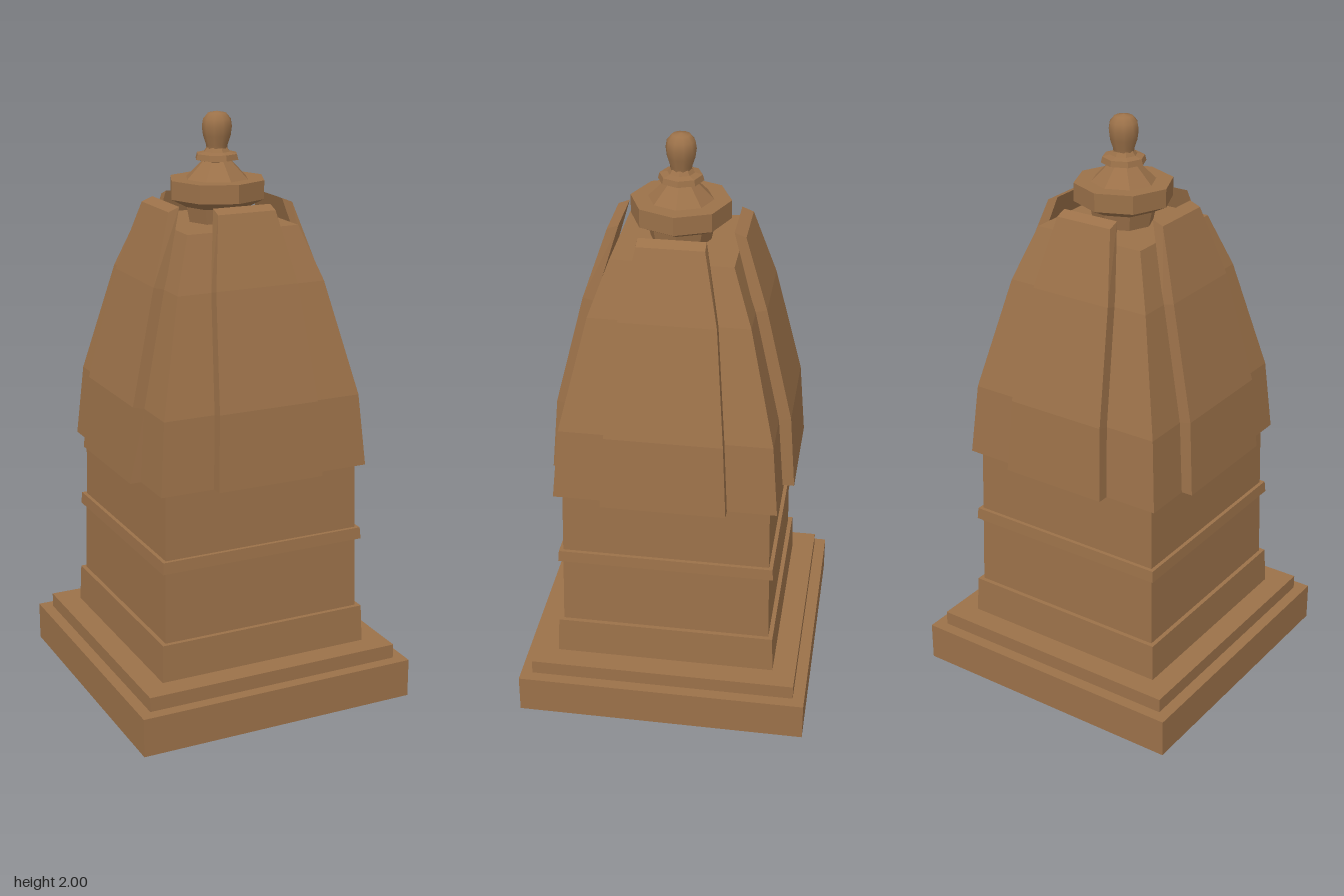
import * as THREE from 'three';

const flat = new THREE.MeshStandardMaterial({ color: 0x9b7149, flatShading: true, side: THREE.DoubleSide });
const smooth = new THREE.MeshStandardMaterial({ color: 0x9b7149 });

function add(group, name, geometry, material = flat) {
  const mesh = new THREE.Mesh(geometry, material);
  mesh.name = name;
  group.add(mesh);
  return mesh;
}

const points = (list) => list.map(([r, y]) => new THREE.Vector2(r, y));

// Square solid from a profile of [half width, height]
function squareLoft(profile) {
  const corners = profile.map(([w, y]) => [w * Math.SQRT2, y]);
  return new THREE.LatheGeometry(points(corners), 4, Math.PI / 4);
}

// Curved slab facing +z; rows run from bottom to top
const RIB_ROWS = [
  // outer y, outer z, inner y, inner z, share of the taper
  [0.835, 0.415, 0.835, 0.372, 0],
  [1.09, 0.395, 1.08, 0.352, 0.14],
  [1.47, 0.302, 1.46, 0.262, 0.5],
  [1.70, 0.225, 1.715, 0.187, 1],
];
function ribGeometry(bottomHalf, topHalf) {
  const geometry = new THREE.BoxGeometry(1, 1, 1, 1, 3, 1);
  const p = geometry.attributes.position;
  for (let i = 0; i < p.count; i++) {
    const [yo, zo, yi, zi, t] = RIB_ROWS[Math.round((p.getY(i) + 0.5) * 3)];
    const outer = p.getZ(i) > 0;
    const half = THREE.MathUtils.lerp(bottomHalf, topHalf, t);
    p.setXYZ(i, Math.sign(p.getX(i)) * half, outer ? yo : yi, outer ? zo : zi);
  }
  geometry.computeVertexNormals();
  return geometry;
}

export function createModel() {
  const model = new THREE.Group();
  model.name = 'pillarCap';

  // Stepped plinth and shaft
  add(model, 'plinth', squareLoft([[0, 0], [0.5, 0], [0.5, 0.135], [0.46, 0.135], [0.46, 0.185], [0, 0.185]]));
  add(model, 'shaft', squareLoft([
    [0.38, 0.185], [0.375, 0.315], [0.36, 0.315], [0.355, 0.565],
    [0.37, 0.565], [0.367, 0.605], [0.354, 0.605], [0.35, 0.835],
  ]));

  // Curved square dome
  add(model, 'dome', squareLoft([
    [0, 0.835], [0.376, 0.835], [0.355, 1.08], [0.265, 1.46], [0.2, 1.64], [0, 1.64],
  ]));

  // Raised rib on each side, slightly wider on left and right
  for (let i = 0; i < 4; i++) {
    const geometry = i % 2 ? ribGeometry(0.21, 0.11) : ribGeometry(0.19, 0.103);
    add(model, 'domeRib', geometry).rotation.y = i * Math.PI / 2;
  }

  // Octagonal finial base with its collar
  add(model, 'finialBase', new THREE.LatheGeometry(points([
    [0.1, 1.64], [0.11, 1.69], [0.165, 1.718], [0.165, 1.78], [0.108, 1.78], [0.05, 1.838],
    [0.075, 1.843], [0.07, 1.862], [0.045, 1.868], [0.035, 1.882], [0, 1.882],
  ]), 8));

  // Rounded knob
  add(model, 'finialKnob', new THREE.LatheGeometry(points([
    [0.034, 1.87], [0.036, 1.89], [0.046, 1.92], [0.05, 1.95], [0.046, 1.975], [0.03, 1.994], [0, 2],
  ]), 10), smooth);

  return model;
}
